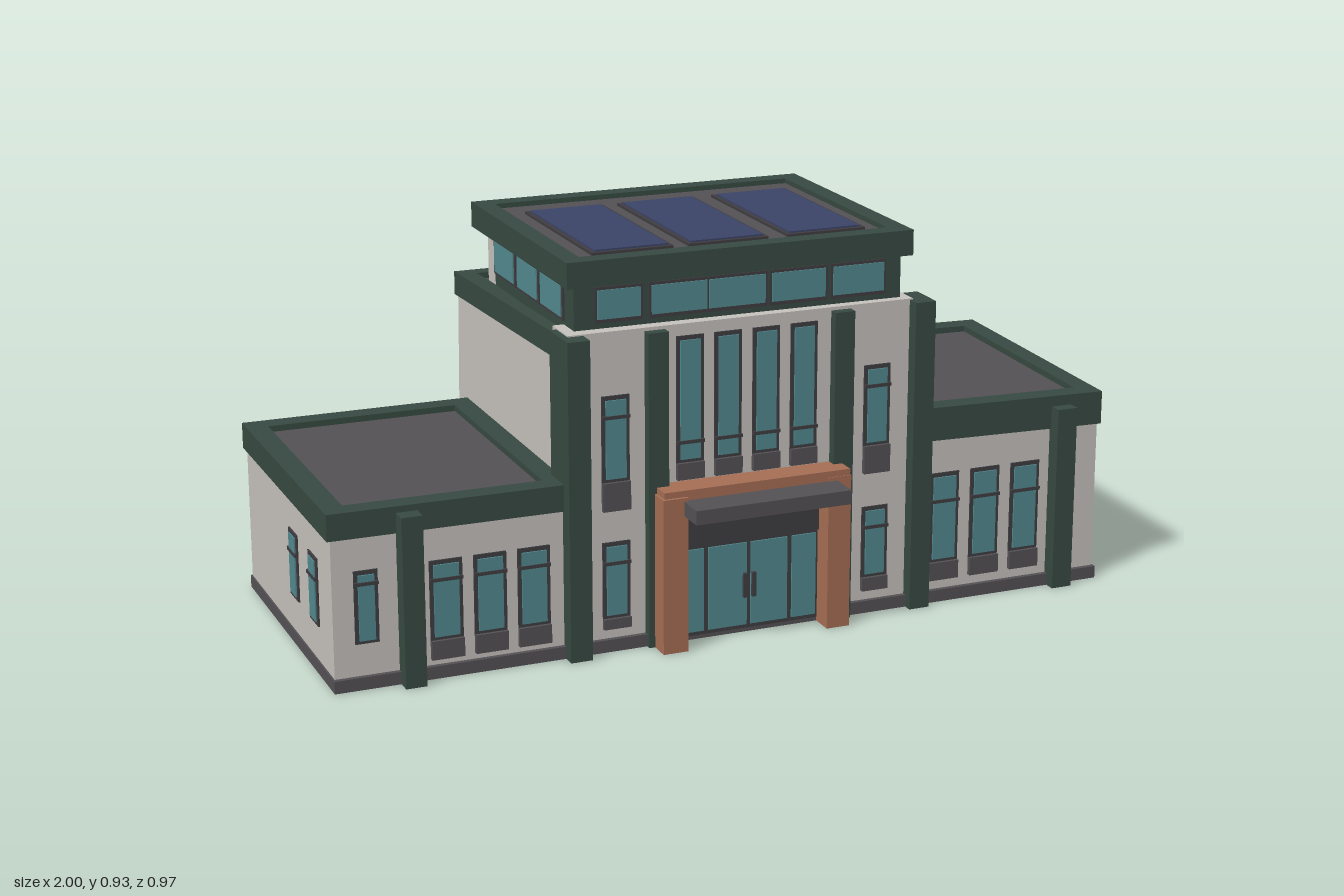
import * as THREE from 'three';

const mat = (name, color) => {
  const m = new THREE.MeshStandardMaterial({ color });
  m.name = name;
  return m;
};

export function createModel() {
  const wall = mat('cream wall', 0xc6c2bd);
  const green = mat('dark green trim', 0x374a42);
  const grey = mat('roof grey', 0x545155);
  const dark = mat('dark frame', 0x3f3d41);
  const teal = mat('teal glass', 0x52898f);
  const copper = mat('copper', 0xa66e54);
  const blue = mat('solar blue', 0x3b4467);
  const root = new THREE.Group();
  root.name = 'building';

  // Box given by its limits; an optional rule moves each vertex
  function box(name, material, [x0, x1], [y0, y1], [z0, z1], rule, parent = root) {
    const g = new THREE.BoxGeometry(x1 - x0, y1 - y0, z1 - z0);
    g.translate((x0 + x1) / 2, (y0 + y1) / 2, (z0 + z1) / 2);
    if (rule) {
      const p = g.attributes.position, v = new THREE.Vector3();
      for (let i = 0; i < p.count; i++) {
        v.fromBufferAttribute(p, i);
        rule(v);
        p.setXYZ(i, v.x, v.y, v.z);
      }
      g.computeVertexNormals();
    }
    const mesh = new THREE.Mesh(g, material);
    mesh.name = name;
    parent.add(mesh);
    return mesh;
  }

  // The facade runs slightly askew: z is measured from this line
  const facade = x => 0.335 - 0.012 * x;
  const onFacade = v => { v.z += facade(v.x); };
  const front = (name, m, x, y, z, parent) => box(name, m, x, y, z, onFacade, parent);

  // Four-sided parapet with a roof set a little below its rim
  function parapet(name, [x0, x1], [y0, y1], [z0, z1], t, rule, drop = 0.015) {
    const g = new THREE.Group();
    g.name = name;
    root.add(g);
    const y = [y0, y1];
    box('trimFront', green, [x0, x1], y, [z1 - t, z1], rule, g);
    box('trimBack', green, [x0, x1], y, [z0, z0 + t], rule, g);
    box('trimLeft', green, [x1 - t, x1], y, [z0 + t, z1 - t], rule, g);
    box('trimRight', green, [x0, x0 + t], y, [z0 + t, z1 - t], rule, g);
    box('roof', grey, [x0 + t, x1 - t], [y0 + 0.005, y1 - drop], [z0 + t, z1 - t], rule, g);
  }

  // Walls: back faces lean inward towards the top
  function block(name, x, top, zBack, lean) {
    const rule = v => {
      if (v.z > 0) v.z = facade(v.x);
      else v.z += lean * (v.y - 0.03) / (top - 0.03);
    };
    box(name + 'Walls', wall, x, [0.03, top], [zBack, 0.33], rule);
    box(name + 'Plinth', grey, [x[0] - 0.004, x[1] + 0.004], [0, 0.03], [zBack - 0.004, 0.33],
      v => { if (v.z > 0) v.z = facade(v.x) + 0.012; });
  }
  block('rightWing', [-0.992, -0.42], 0.365, -0.392, 0);
  block('leftWing', [0.42, 0.952], 0.42, -0.398, 0.056);
  block('centre', [-0.427, 0.438], 0.70, -0.48, 0.026);

  // Parapets of the wings and the main block
  const tiltWing = v => { v.y += -0.02 * v.z - 0.02 * (v.x - 0.96); };
  const tiltMain = v => { v.y += 0.034 * (v.z - 0.27); };
  parapet('rightWingParapet', [-1, -0.425], [0.357, 0.42], [-0.4, 0.35], 0.052);
  parapet('leftWingParapet', [0.43, 0.958], [0.405, 0.487], [-0.346, 0.332], 0.05, tiltWing);
  parapet('mainParapet', [-0.434, 0.448], [0.697, 0.755], [-0.462, 0.29], 0.045, tiltMain);
  front('frontParapetWall', wall, [-0.427, 0.438], [0.69, 0.765], [-0.1, 0]);

  // Upper storey with its ribbon of windows
  box('upperWalls', wall, [-0.385, 0.4], [0.7, 0.875], [-0.338, 0.28]);
  box('upperFrame', green, [-0.4, 0.415], [0.745, 0.875], [-0.24, 0.307]);
  for (const [a, b] of [[-0.345, -0.24], [-0.213, -0.077], [-0.072, 0.068], [0.085, 0.22], [0.24, 0.37]]) {
    box('ribbonFrame', dark, [a - 0.006, b + 0.006], [0.778, 0.862], [0.3, 0.31]);
    box('ribbonGlass', teal, [a, b], [0.787, 0.855], [0.305, 0.313]);
  }
  for (const x of [-0.4, 0.415]) {
    for (const z of [0.168, 0.005, -0.16]) {
      box('sideRibbonFrame', dark, [x - 0.004, x + 0.004], [0.774, 0.862], [z - 0.078, z + 0.078]);
      box('sideRibbonGlass', teal, [x - 0.007, x + 0.007], [0.782, 0.855], [z - 0.068, z + 0.068]);
    }
  }
  parapet('topParapet', [-0.424, 0.436], [0.869, 0.93], [-0.345, 0.33], 0.046, null, 0.012);

  // Solar panels
  for (const x of [-0.23, 0.007, 0.255]) {
    box('solarFrame', dark, [x - 0.1, x + 0.1], [0.91, 0.924], [-0.22, 0.238]);
    box('solarPanel', blue, [x - 0.09, x + 0.09], [0.915, 0.928], [-0.208, 0.228]);
  }

  // Pilasters: x limits, top, depth behind and in front of the facade
  for (const [a, b, top, z0, z1] of [
    [-0.84, -0.79, 0.405, -0.02, 0.046], [0.82, 0.872, 0.457, -0.02, 0.04],
    [-0.444, -0.39, 0.762, -0.075, 0.044], [0.43, 0.482, 0.762, -0.065, 0.034],
    [-0.242, -0.192, 0.757, -0.02, 0.025], [0.226, 0.276, 0.757, -0.02, 0.025],
  ]) front('pilaster', green, [a, b], [0, top], [z0, z1]);
  box('sidePilaster', green, [0.93, 0.998], [0, 0.405], [0.064, 0.135],
    v => { if (v.x > 0.95 && v.y > 0.2) v.x -= 0.012; });

  // Facade windows: frame, glass, crossbar and a dark panel under the sill
  function frontWindow(a, b, y0, y1, sill, bar) {
    const g = new THREE.Group();
    g.name = 'frontWindow';
    root.add(g);
    front('frame', dark, [a, b], [y0, y1], [-0.01, 0.004], g);
    front('glass', teal, [a + 0.009, b - 0.009], [y0 + 0.008, y1 - 0.01], [-0.01, 0.008], g);
    front('crossbar', dark, [a, b], [bar - 0.004, bar + 0.004], [0, 0.011], g);
    if (sill < y0) front('sillPanel', grey, [a, b], [sill, y0], [-0.01, 0.012], g);
  }
  for (const x of [-0.131, -0.036, 0.06, 0.156]) frontWindow(x - 0.034, x + 0.034, 0.435, 0.737, 0.395, 0.485);
  for (const [x, d] of [[-0.315, 0], [0.347, 0.008]]) {
    frontWindow(x - 0.034, x + 0.034, 0.41 + d, 0.615, 0.342 + d, 0.565);
    frontWindow(x - 0.034, x + 0.034, 0.08 + d, 0.265, 0.055, 0.215);
  }
  for (const x of [-0.727, -0.622, -0.517]) frontWindow(x - 0.039, x + 0.039, 0.09, 0.28, 0.045, 0.235);
  for (const x of [0.533, 0.643, 0.753]) frontWindow(x - 0.039, x + 0.039, 0.1, 0.325, 0.055, 0.255);
  frontWindow(-0.942, -0.886, 0.107, 0.28, 0.107, 0.25);

  // Windows in the ends of the wings
  for (const [x, z, top] of [[0.952, 0.197, 0.317], [0.952, -0.237, 0.317], [-0.992, 0.2, 0.28], [-0.992, 0.03, 0.28]]) {
    const y = top - 0.05;
    box('endWindowFrame', dark, [x - 0.004, x + 0.004], [0.117, top], [z - 0.036, z + 0.036]);
    box('endWindowGlass', teal, [x - 0.007, x + 0.007], [0.126, top - 0.009], [z - 0.025, z + 0.025]);
    box('endWindowBar', dark, [x - 0.009, x + 0.009], [y - 0.004, y + 0.004], [z - 0.034, z + 0.034]);
  }

  // Entrance: copper surround, canopy, lintel and double doors
  front('copperPostRight', copper, [-0.228, -0.166], [0, 0.375], [0, 0.078]);
  front('copperPostLeft', copper, [0.192, 0.25], [0, 0.375], [0, 0.072]);
  front('copperBeam', copper, [-0.222, 0.248], [0.362, 0.39], [0, 0.07]);
  front('canopy', grey, [-0.176, 0.214], [0.332, 0.366], [0, 0.15]);
  front('lintel', dark, [-0.166, 0.192], [0.232, 0.335], [-0.01, 0.02]);
  front('doorFrame', dark, [-0.166, 0.192], [0.01, 0.232], [-0.01, 0.014]);
  for (const [a, b] of [[-0.16, -0.102], [-0.09, 0.008], [0.018, 0.112], [0.124, 0.186]]) {
    front('doorGlass', teal, [a, b], [0.02, 0.224], [0, 0.018]);
  }
  for (const x of [0.002, 0.024]) front('doorHandle', dark, [x - 0.005, x + 0.005], [0.09, 0.15], [0.01, 0.026]);

  return root;
}
